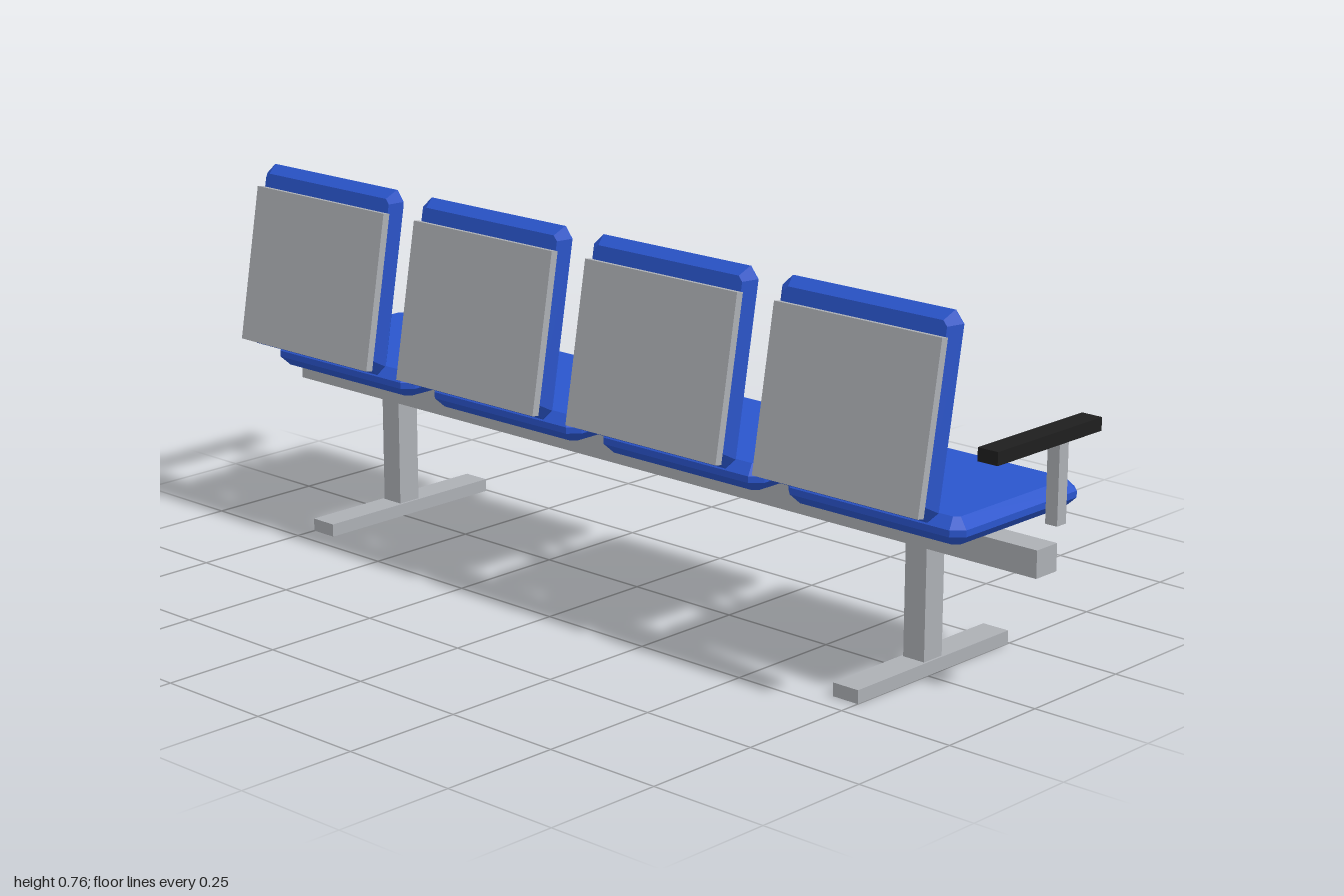
import * as THREE from 'three';

const mat = (name, color) => {
  const m = new THREE.MeshStandardMaterial({ color });
  m.name = name;
  return m;
};

// Cushion slab lying in XY, centred, thickness along z, chamfered on every edge
function cushionGeometry(width, length, thickness, bevel = 0.02, cut = 0.01) {
  const x = width / 2 - bevel, y = length / 2 - bevel;
  const outline = new THREE.Shape([
    [-x + cut, -y], [x - cut, -y], [x, -y + cut], [x, y - cut],
    [x - cut, y], [-x + cut, y], [-x, y - cut], [-x, -y + cut],
  ].map(([a, b]) => new THREE.Vector2(a, b)));
  const depth = thickness - 2 * bevel;
  return new THREE.ExtrudeGeometry(outline, {
    depth, bevelEnabled: true, bevelSize: bevel, bevelThickness: bevel, bevelSegments: 1,
  }).translate(0, 0, -depth / 2);
}

export function createModel() {
  const model = new THREE.Group();
  model.name = 'beamSeating';
  const blue = mat('blueUpholstery', 0x2a55cc);
  const grey = mat('greyMetal', 0xacafb4);
  const black = mat('blackArmPad', 0x1e1e1e);

  const add = (parent, name, geometry, material, x, y, z) => {
    const mesh = new THREE.Mesh(geometry, material);
    mesh.name = name;
    mesh.position.set(x, y, z);
    parent.add(mesh);
    return mesh;
  };
  const box = (w, h, d) => new THREE.BoxGeometry(w, h, d);

  const pitch = 0.48;   // seat spacing
  const beamZ = -0.0205;

  // Support beam with two T-shaped legs
  add(model, 'beam', box(2, 0.054, 0.06), grey, 0, 0.279, beamZ);
  for (const x of [-1.5 * pitch, 1.5 * pitch]) {
    add(model, 'leg', box(0.05, 0.225, 0.053), grey, x, 0.1395, beamZ);
    add(model, 'foot', box(0.06, 0.027, 0.449), grey, x, 0.0135, beamZ);
  }

  // Four seats, each with a tilted backrest and rear panel
  const seatGeometry = cushionGeometry(0.42, 0.373, 0.053).rotateX(-Math.PI / 2);
  const backGeometry = cushionGeometry(0.42, 0.382, 0.042);
  const panelGeometry = box(0.39, 0.325, 0.0165);
  for (let i = 0; i < 4; i++) {
    const x = (i - 1.5) * pitch;
    add(model, 'seatCushion', seatGeometry, blue, x, 0.3495, -0.0375);
    const backrest = new THREE.Group();
    backrest.name = 'backrest';
    backrest.position.set(x, 0.574, 0.18);
    backrest.rotation.x = -THREE.MathUtils.degToRad(10);
    add(backrest, 'backCushion', backGeometry, blue, 0, 0, 0);
    add(backrest, 'backPanel', panelGeometry, grey, 0, -0.02, 0.029);
    model.add(backrest);
  }

  // Five armrests, between and beside the seats
  for (let i = -2; i <= 2; i++) {
    add(model, 'armPost', box(0.027, 0.16, 0.027), grey, i * pitch, 0.403, -0.098);
    add(model, 'armPad', box(0.045, 0.026, 0.31), black, i * pitch, 0.496, -0.044);
  }
  return model;
}
